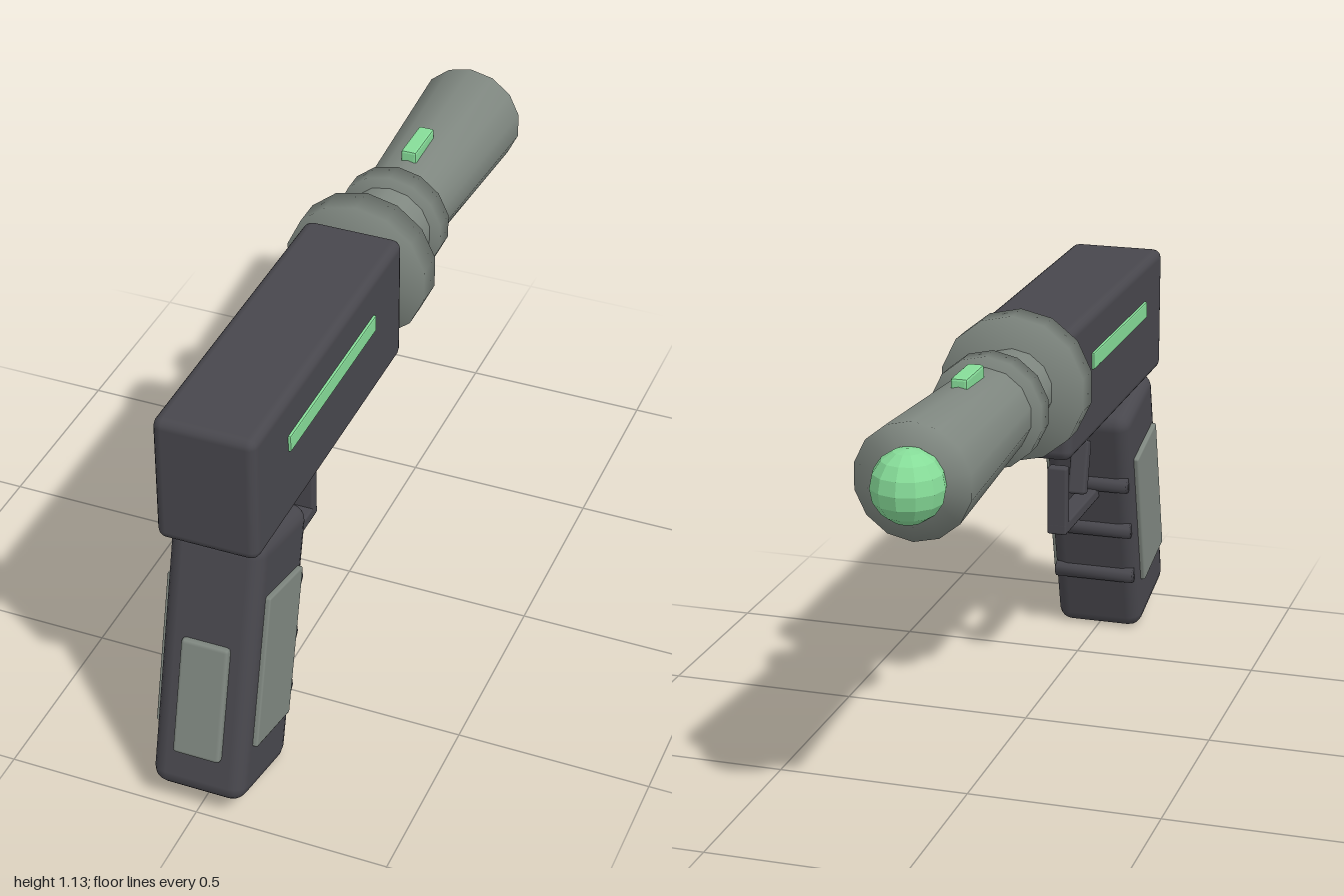
import * as THREE from 'three';
import { mergeVertices } from 'three/addons/utils/BufferGeometryUtils.js';
import { RoundedBoxGeometry } from 'three/addons/geometries/RoundedBoxGeometry.js';

const AXIS_Y = 0.945; // height of the barrel axis

function material(name, color, flatShading = false) {
  const m = new THREE.MeshStandardMaterial({ color, flatShading });
  m.name = name;
  return m;
}

function add(parent, name, geometry, mat, x = 0, y = 0, z = 0) {
  const mesh = new THREE.Mesh(geometry, mat);
  mesh.name = name;
  mesh.position.set(x, y, z);
  parent.add(mesh);
  return mesh;
}

// Cylinder whose caps share the side normals, for a soft look
function softCylinder(rTop, rBottom, length, sides) {
  const g = new THREE.CylinderGeometry(rTop, rBottom, length, sides);
  g.deleteAttribute('uv');
  g.deleteAttribute('normal');
  const merged = mergeVertices(g, 1e-4);
  merged.computeVertexNormals();
  return merged;
}

export function createModel() {
  const model = new THREE.Group();
  model.name = 'toyBlaster';
  const dark = material('charcoal', 0x48474d);
  const grey = material('greenGrey', 0x7f8780);
  const green = material('glowGreen', 0x86dc98, true);

  // Body
  add(model, 'body', new RoundedBoxGeometry(0.26, 0.345, 0.925, 2, 0.025), dark, 0, 0.908, 0.4275);
  for (const s of [1, -1]) {
    add(model, s > 0 ? 'leftStrip' : 'rightStrip',
      new RoundedBoxGeometry(0.02, 0.045, 0.54, 1, 0.004), green, s * 0.127, 0.952, 0.43);
  }

  // Barrel and collars: [name, muzzle radius, rear radius, z rear, z muzzle]
  const barrelParts = [
    ['barrel', 0.145, 0.102, -0.03, -0.88],
    ['rearCollar', 0.19, 0.19, -0.04, -0.117],
    ['middleCollar', 0.145, 0.145, -0.273, -0.332],
  ];
  for (const [name, rMuzzle, rRear, z0, z1] of barrelParts) {
    const g = softCylinder(rMuzzle, rRear, z0 - z1, 14);
    g.rotateX(-Math.PI / 2);
    add(model, name, g, grey, 0, AXIS_Y, (z0 + z1) / 2);
  }
  add(model, 'sight', new RoundedBoxGeometry(0.042, 0.04, 0.135, 1, 0.006), green, 0, 1.073, -0.475);
  add(model, 'muzzleOrb', new THREE.SphereGeometry(0.09, 12, 8), green, 0, AXIS_Y, -0.91);

  // Grip, leaning forward at the top
  const grip = new THREE.Group();
  grip.name = 'grip';
  grip.position.set(0, 0.366, 0.778);
  grip.rotation.x = -THREE.MathUtils.degToRad(14);
  model.add(grip);
  add(grip, 'handle', new RoundedBoxGeometry(0.244, 0.7, 0.295, 2, 0.04), dark);
  for (const s of [1, -1]) {
    add(grip, s > 0 ? 'leftPanel' : 'rightPanel',
      new RoundedBoxGeometry(0.03, 0.404, 0.205, 1, 0.006), grey, s * 0.12, 0, 0);
  }
  add(grip, 'backPanel', new RoundedBoxGeometry(0.125, 0.31, 0.03, 1, 0.01), grey, 0, -0.085, 0.149);
  for (const y of [0.14, -0.01, -0.16]) {
    const g = softCylinder(0.023, 0.023, 0.225, 8);
    g.rotateZ(Math.PI / 2);
    add(grip, 'fingerRidge', g, dark, 0, y, -0.144);
  }

  // Trigger and guard
  add(model, 'guardBar', new RoundedBoxGeometry(0.055, 0.033, 0.36, 1, 0.007), dark, 0, 0.436, 0.463);
  add(model, 'guardPost', new RoundedBoxGeometry(0.055, 0.19, 0.033, 1, 0.007), dark, 0, 0.515, 0.3);
  const trigger = add(model, 'trigger',
    new RoundedBoxGeometry(0.05, 0.15, 0.037, 1, 0.008), dark, 0, 0.543, 0.508);
  trigger.rotation.x = THREE.MathUtils.degToRad(15);

  return model;
}
